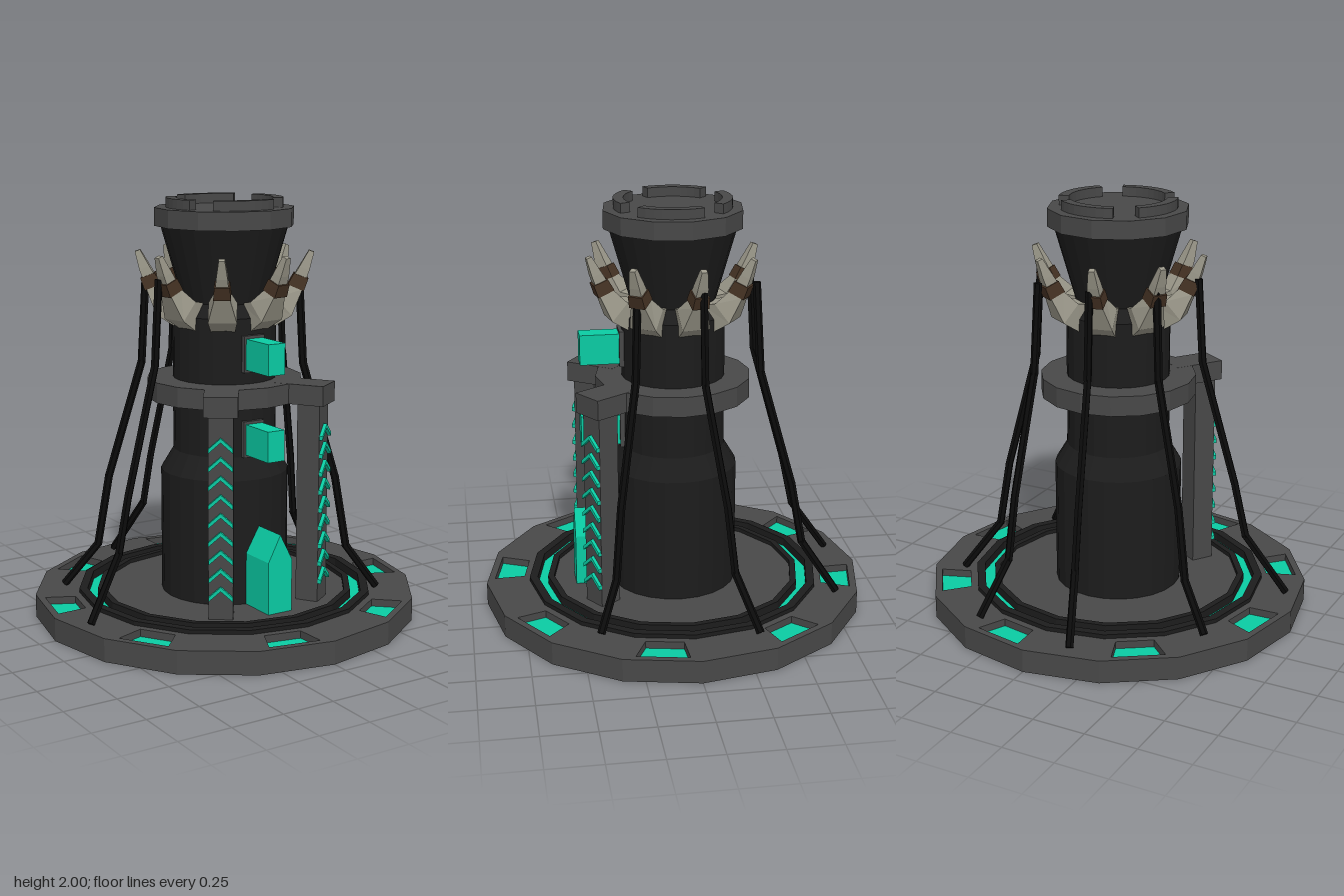
import * as THREE from 'three';

const mat = (color, side = THREE.FrontSide) =>
  new THREE.MeshStandardMaterial({ color, flatShading: true, side });
const GREY = mat(0x484848), PLATE = mat(0x484848, THREE.DoubleSide), DARK = mat(0x1c1c1c, THREE.DoubleSide);
const BLACK = mat(0x0b0b0b), GLOW = mat(0x0acba3, THREE.DoubleSide), BONE = mat(0x9a9789), BROWN = mat(0x463324);
const TAU = Math.PI * 2, RAD = Math.PI / 180;

function add(parent, name, geo, material, x = 0, y = 0, z = 0) {
  const m = new THREE.Mesh(geo, material);
  m.name = name;
  m.position.set(x, y, z);
  parent.add(m);
  return m;
}

// Group turned about y so that its local +z points outward at the given angle
function spoke(parent, name, angle) {
  const g = new THREE.Group();
  g.name = name;
  g.rotation.y = angle;
  parent.add(g);
  return g;
}

const ngon = (r, n = 16) => Array.from({ length: n }, (_, i) =>
  new THREE.Vector2(r * Math.cos(i * TAU / n), r * Math.sin(i * TAU / n)));

// Flat shape with holes, raised upward when a depth is given
function slab(outer, holes, depth) {
  const s = new THREE.Shape(outer);
  holes.forEach(h => s.holes.push(new THREE.Path(h)));
  const g = depth ? new THREE.ExtrudeGeometry(s, { depth, bevelEnabled: false }) : new THREE.ShapeGeometry(s);
  return g.rotateX(-Math.PI / 2);
}

// Thin upright wall following a closed outline
function wall(outline, y0, y1) {
  const pos = [], idx = [], n = outline.length;
  outline.forEach((p, i) => {
    pos.push(p.x, y0, -p.y, p.x, y1, -p.y);
    const a = i * 2, b = ((i + 1) % n) * 2;
    idx.push(a, b, b + 1, a, b + 1, a + 1);
  });
  const g = new THREE.BufferGeometry();
  g.setAttribute('position', new THREE.Float32BufferAttribute(pos, 3));
  g.setIndex(idx);
  g.computeVertexNormals();
  return g;
}

// Trapezoid light opening in the base plate
function panelOutline(a) {
  return [[0.73, -0.088], [0.87, -0.122], [0.87, 0.122], [0.73, 0.088]].map(([r, t]) =>
    new THREE.Vector2(r * Math.cos(a) - t * Math.sin(a), r * Math.sin(a) + t * Math.cos(a)));
}

// Solid through rectangular sections [radius, y, halfWidth, halfDepth, tilt]
function loft(sections) {
  const pos = [], idx = [];
  sections.forEach(([r, y, w, d, tilt]) => {
    const dz = Math.cos(tilt) * d, dy = -Math.sin(tilt) * d;
    pos.push(-w, y + dy, r + dz, w, y + dy, r + dz, w, y - dy, r - dz, -w, y - dy, r - dz);
  });
  for (let i = 0; i < sections.length - 1; i++)
    for (let j = 0; j < 4; j++) {
      const a = i * 4 + j, b = i * 4 + (j + 1) % 4;
      idx.push(a, b, b + 4, a, b + 4, a + 4);
    }
  const e = (sections.length - 1) * 4;
  idx.push(0, 2, 1, 0, 3, 2, e, e + 1, e + 2, e, e + 2, e + 3);
  const g = new THREE.BufferGeometry();
  g.setAttribute('position', new THREE.Float32BufferAttribute(pos, 3));
  g.setIndex(idx);
  g.computeVertexNormals();
  return g;
}

function rod(parent, name, a, b, radius) {
  const dir = b.clone().sub(a), len = dir.length();
  const m = add(parent, name, new THREE.CylinderGeometry(radius, radius, len + radius * 0.5, 6), BLACK);
  m.position.copy(a).add(b).multiplyScalar(0.5);
  m.quaternion.setFromUnitVectors(new THREE.Vector3(0, 1, 0), dir.normalize());
}

// Hollow base: a top plate on a rim wall, open underneath
function buildBase(root) {
  const panels = Array.from({ length: 8 }, (_, i) => panelOutline((33.75 + 45 * i) * RAD));
  add(root, 'baseRim', wall(ngon(0.92), 0, 0.11), PLATE);
  add(root, 'basePlate', slab(ngon(0.92), [ngon(0.67), ...panels], 0), PLATE, 0, 0.11, 0);
  add(root, 'baseFloor', slab(ngon(0.62), [ngon(0.305, 24)], 0), PLATE, 0, 0.11, 0);
  panels.forEach(p => {
    add(root, 'panelRecess', wall(p, 0.075, 0.11), PLATE);
    add(root, 'basePanel', slab(p, [], 0), GLOW, 0, 0.075, 0);
  });
  // Glowing channel between two raised curbs
  add(root, 'lightRing', slab(ngon(0.67), [ngon(0.62)], 0), GLOW, 0, 0.09, 0);
  for (const r of [0.62, 0.67]) add(root, 'channelWall', wall(ngon(r), 0.09, 0.11), DARK);
  add(root, 'outerCurb', slab(ngon(0.71), [ngon(0.67)], 0.02), DARK, 0, 0.11, 0);
  add(root, 'innerCurb', slab(ngon(0.62), [ngon(0.59)], 0.02), DARK, 0, 0.11, 0);
}

function buildTower(root) {
  const profile = [[0.305, 0.11], [0.305, 0.71], [0.245, 0.81], [0.245, 1.46], [0.2, 1.52], [0.3, 1.87]]
    .map(p => new THREE.Vector2(...p));
  add(root, 'towerShaft', new THREE.LatheGeometry(profile, 24), DARK);
  add(root, 'collar', slab(ngon(0.37), [ngon(0.235)], 0.095), GREY, 0, 1.06, 0);
  add(root, 'topCap', new THREE.CylinderGeometry(0.33, 0.33, 0.085, 12), GREY, 0, 1.9125, 0)
    .rotation.y = 7 * RAD;
  // Four curved battlements
  for (let i = 0; i < 4; i++) {
    const s = new THREE.Shape(), a = (90 * i - 10 - 33) * RAD, b = a + 66 * RAD;
    s.absarc(0, 0, 0.275, a, b, false);
    s.absarc(0, 0, 0.227, b, a, true);
    const g = new THREE.ExtrudeGeometry(s, { depth: 0.05, bevelEnabled: false, curveSegments: 4 });
    add(root, 'battlement', g.rotateX(-Math.PI / 2), GREY, 0, 1.95, 0);
  }
}

function buildOpenings(root) {
  const door = new THREE.Shape([[-0.065, 0], [0.065, 0], [0.065, 0.25], [0, 0.375], [-0.065, 0.25]]
    .map(p => new THREE.Vector2(...p)));
  add(root, 'door', new THREE.ExtrudeGeometry(door, { depth: 0.245, bevelEnabled: false }), GLOW, 0, 0.11, 0.24);
  for (const y of [0.895, 1.297]) {
    add(root, 'windowFrame', new THREE.BoxGeometry(0.11, 0.172, 0.07), GREY, 0, y, 0.225);
    add(root, 'windowLight', new THREE.BoxGeometry(0.09, 0.145, 0.225), GLOW, 0, y, 0.3325);
  }
}

function buildPillars(root) {
  const v = new THREE.Shape([[-0.056, 0], [0, 0.05], [0.056, 0], [0.056, 0.02], [0, 0.07], [-0.056, 0.02]]
    .map(p => new THREE.Vector2(...p)));
  const chevron = new THREE.ExtrudeGeometry(v, { depth: 0.028, bevelEnabled: false });
  for (const side of [-1, 1]) {
    const g = spoke(root, 'pillarGroup', side * 34 * RAD);
    add(g, 'pillar', new THREE.BoxGeometry(0.114, 0.96, 0.11), GREY, 0, 0.59, 0.451);
    add(g, 'bracketArm', new THREE.BoxGeometry(0.157, 0.095, 0.25), GREY, 0, 1.108, 0.405);
    for (let i = 0; i < 9; i++) add(g, 'chevron', chevron, GLOW, 0, 0.2 + i * 0.087, 0.495);
  }
}

function buildClaws(root) {
  const claw = loft([
    [0.2, 1.46, 0.055, 0.07, 1.15], [0.28, 1.495, 0.066, 0.056, 0.85],
    [0.335, 1.585, 0.034, 0.034, 0.4], [0.375, 1.67, 0.026, 0.025, 0.35], [0.408, 1.75, 0.014, 0.013, 0.35],
  ]);
  const band = loft([[0.335, 1.58, 0.04, 0.041, 0.4], [0.36, 1.635, 0.035, 0.036, 0.37]]);
  for (let i = 0; i < 8; i++) {
    const g = spoke(root, 'clawGroup', (11.25 + 45 * i) * RAD);
    add(g, 'claw', claw, BONE);
    add(g, 'clawBand', band, BROWN);
  }
}

function buildCables(root) {
  // Upper bend, lower knee [x, y, z] and ground point of each cable
  const cables = [
    [[0.305, 1.22, 0.215], [0.485, 0.32, 0.335], [0.605, 0.12, 0.42]],
    [[0.395, 1.22, -0.09], [0.55, 0.35, -0.21], [0.705, 0.12, -0.3]],
    [[0.24, 1.22, -0.375], [0.272, 0.36, -0.585], [0.335, 0.12, -0.745]],
    [[-0.055, 1.24, -0.4], [-0.105, 0.4, -0.62], [-0.18, 0.12, -0.81]],
    [[-0.325, 1.22, -0.225], [-0.52, 0.32, -0.33], [-0.66, 0.12, -0.415]],
    [[-0.412, 1.25, 0.058], [-0.635, 0.4, 0.1], [-0.82, 0.12, 0.17]],
  ];
  for (const c of cables) {
    const [bend, knee, end] = c.map(p => new THREE.Vector3(...p));
    const start = new THREE.Vector3(bend.x * 0.94, 1.64, bend.z * 0.94);
    const middle = bend.clone().lerp(knee, 0.74).setY(0.66);
    const pts = [start, bend, middle, knee, end];
    const g = new THREE.Group();
    g.name = 'cable';
    root.add(g);
    for (let i = 0; i < 4; i++) rod(g, 'cableSegment', pts[i], pts[i + 1], 0.019);
  }
}

export function createModel() {
  const root = new THREE.Group();
  root.name = 'tower';
  [buildBase, buildTower, buildOpenings, buildPillars, buildClaws, buildCables].forEach(f => f(root));
  return root;
}
